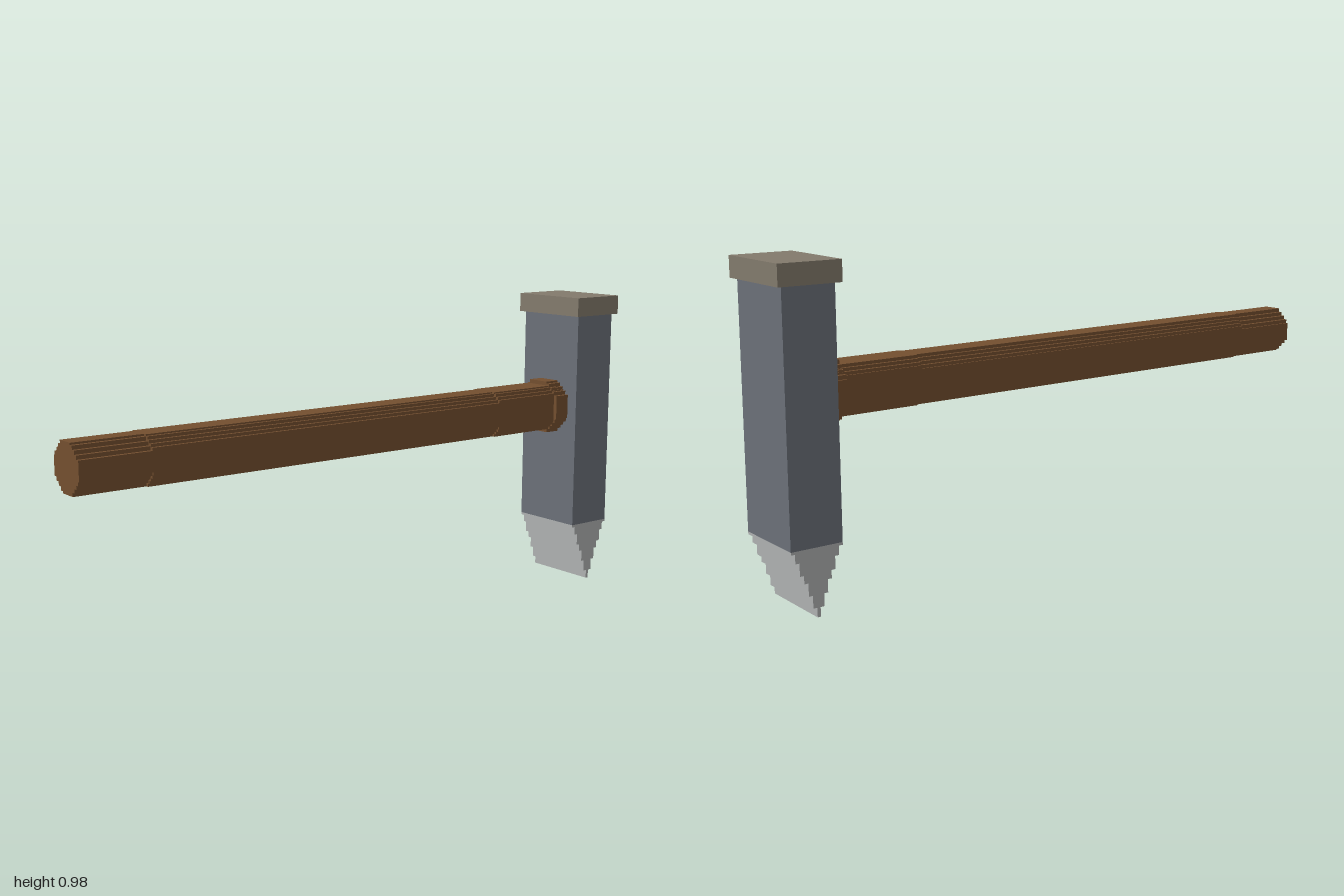
import * as THREE from 'three';

const material = (name, color) => {
  const m = new THREE.MeshStandardMaterial({ color });
  m.name = name;
  return m;
};

// Octagon outline whose four corners are cut as small stairs
function steppedOctagon(radius, flat, steps) {
  const d = (radius - flat) / steps;
  const corner = [[flat, radius]];
  for (let i = 0; i < steps; i++) {
    const x = flat + i * d, y = radius - i * d;
    corner.push([x + d / 2, y], [x + d / 2, y - d]);
  }
  corner.push([radius, flat]);
  const points = [];
  for (let q = 0; q < 4; q++) {
    for (const [x, y] of corner) {
      const p = [[x, y], [y, -x], [-x, -y], [-y, x]][q];
      points.push(new THREE.Vector2(...p));
    }
  }
  return new THREE.Shape(points);
}

export function createModel() {
  const group = new THREE.Group();
  const wood = material('brown wood', 0x734f2f);
  const steel = material('dark steel', 0x6b7078);
  const edge = material('bright steel', 0xaeb1b1);
  const capMetal = material('warm grey metal', 0x827a6c);

  const add = (name, geometry, mat, x, y, z) => {
    const mesh = new THREE.Mesh(geometry, mat);
    mesh.name = name;
    mesh.position.set(x, y, z);
    group.add(mesh);
  };

  // Handle sections along x: name, start, end, radius, flat half width, stairs
  const sections = [
    ['handleEnd', -1, -0.775, 0.074, 0.027, 4],
    ['handleGrip', -0.775, 0.52, 0.074, 0.037, 4],
    ['handleNeck', 0.52, 0.83, 0.074, 0.046, 3],
    ['handleCollar', 0.77, 0.83, 0.087, 0.037, 4],
  ];
  for (const [name, start, end, radius, flat, steps] of sections) {
    const g = new THREE.ExtrudeGeometry(steppedOctagon(radius, flat, steps),
      { depth: end - start, bevelEnabled: false });
    g.rotateY(Math.PI / 2);
    add(name, g, wood, start, 0.607, 0);
  }

  // Head block and striking cap
  const cx = 0.903;
  add('headBlock', new THREE.BoxGeometry(0.16, 0.72, 0.252), steel, cx, 0.56, 0);
  add('strikingCap', new THREE.BoxGeometry(0.192, 0.062, 0.278), capMetal, cx, 0.951, 0);

  // Wedge blade with stair-cut slopes, narrowing downwards
  const levels = [0.2, 0.192, 0.165, 0.127, 0.103, 0.065, 0.028, 0];
  const right = [];
  for (let i = 0; i < levels.length - 1; i++) {
    const half = 0.08 - i * 0.0125;
    right.push([half, levels[i]], [half, levels[i + 1]]);
  }
  const left = right.map(([x, y]) => [-x, y]).reverse();
  const outline = [...right, ...left].map(([x, y]) => new THREE.Vector2(x, y));
  const blade = new THREE.ExtrudeGeometry(new THREE.Shape(outline),
    { depth: 0.252, bevelEnabled: false });
  add('wedgeBlade', blade, edge, cx, 0, -0.126);

  return group;
}
